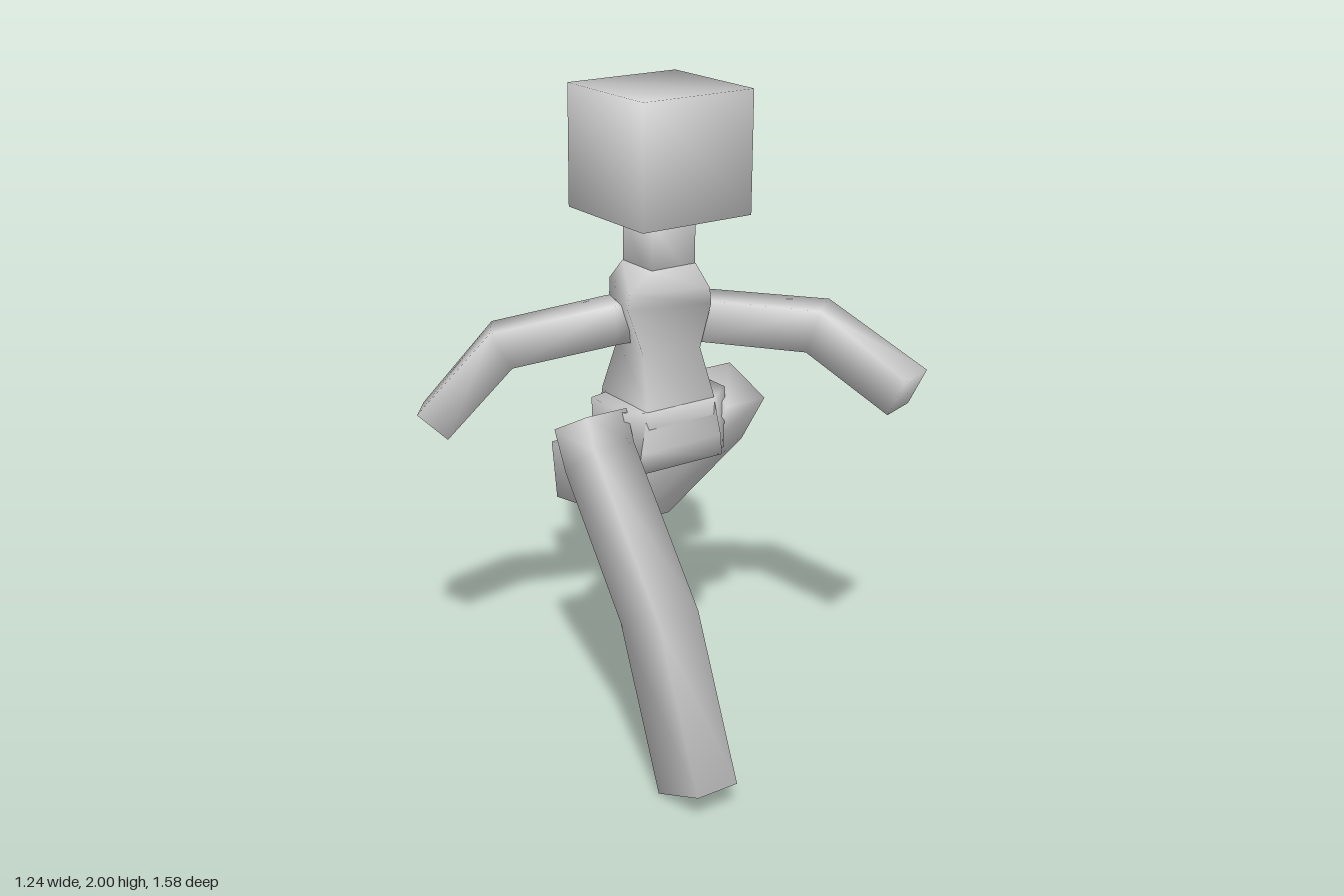
import * as THREE from 'three';

const V = (x, y, z) => new THREE.Vector3(x, y, z);
const material = new THREE.MeshStandardMaterial({ color: 0xcccccc });

// Closed skin over four-cornered rings, with smooth shared normals
function loft(name, rings) {
  const points = rings.flat();
  const faces = [];
  const quad = (a, b, c, d) => faces.push([a, b, c], [a, c, d]);
  for (let i = 0; i < rings.length - 1; i++) {
    for (let j = 0; j < 4; j++) {
      const k = (j + 1) % 4;
      quad(i * 4 + j, i * 4 + k, i * 4 + 4 + k, i * 4 + 4 + j);
    }
  }
  const e = points.length - 4;
  quad(3, 2, 1, 0);
  quad(e, e + 1, e + 2, e + 3);

  // Turn the faces outward if the enclosed volume is negative
  let volume = 0;
  for (const [a, b, c] of faces) {
    volume += points[a].dot(points[b].clone().cross(points[c]));
  }
  if (volume < 0) faces.forEach((f) => f.reverse());

  const geometry = new THREE.BufferGeometry().setFromPoints(points);
  geometry.setIndex(faces.flat());
  geometry.computeVertexNormals();
  const mesh = new THREE.Mesh(geometry, material);
  mesh.name = name;
  return mesh;
}

// Horizontal ring, turned about the vertical
function levelRing(y, cx, cz, hx, hz, turn = 0) {
  return [[-1, -1], [1, -1], [1, 1], [-1, 1]].map(([sx, sz]) =>
    V(sx * hx, 0, sz * hz).applyAxisAngle(V(0, 1, 0), turn).add(V(cx, y, cz)));
}

// Square tube along a bent path, mitred at each joint
function arm(name, path, half) {
  const dirs = path.slice(1).map((p, i) => p.clone().sub(path[i]).normalize());
  return loft(name, path.map((p, i) => {
    const before = dirs[Math.max(i - 1, 0)];
    const after = dirs[Math.min(i, dirs.length - 1)];
    const along = before.clone().add(after).normalize();
    const side = along.clone().cross(V(0, 1, 0)).normalize();
    const up = side.clone().cross(along);
    const grow = half / along.dot(after);
    return [[-1, -1], [1, -1], [1, 1], [-1, 1]].map(([s, u]) =>
      p.clone().addScaledVector(side, s * grow).addScaledVector(up, u * grow));
  }));
}

// Side profile, as pairs of [z, y] edge points, given a width in x
function leg(name, x0, x1, profile) {
  return loft(name, profile.map(([za, ya, zb, yb]) =>
    [V(x0, ya, za), V(x1, ya, za), V(x1, yb, zb), V(x0, yb, zb)]));
}

export function createModel() {
  const group = new THREE.Group();
  group.name = 'runningFigure';

  // Head and neck
  group.add(
    loft('head', [
      levelRing(1.595, 0.018, 0.128, 0.08, 0.08),
      levelRing(1.63, 0.018, 0.128, 0.193, 0.193),
      levelRing(2.0, 0.018, 0.128, 0.193, 0.193),
    ]),
    loft('neck', [
      levelRing(1.42, 0.018, 0.128, 0.078, 0.075),
      levelRing(1.61, 0.018, 0.128, 0.078, 0.075),
    ]),
  );

  // Torso, shoulders twisted against the hips
  group.add(loft('torso', [
    levelRing(0.865, 0.02, 0.13, 0.15, 0.125),
    levelRing(0.93, 0.02, 0.13, 0.145, 0.125),
    levelRing(1.07, 0.018, 0.125, 0.122, 0.12),
    levelRing(1.22, 0.015, 0.132, 0.095, 0.09, -0.15),
    levelRing(1.36, 0.022, 0.128, 0.13, 0.095, -0.3),
    levelRing(1.41, 0.02, 0.128, 0.125, 0.1, -0.3),
    levelRing(1.475, 0.018, 0.128, 0.08, 0.076),
  ]));

  // Hip bridge joining the legs
  group.add(loft('hips', [
    [-0.18, 0.86, 1.065, 0.06, 0.235],
    [-0.1, 0.875, 1.055, 0.02, 0.25],
    [0.14, 0.875, 1.055, 0.02, 0.25],
    [0.22, 0.86, 1.06, 0.06, 0.2],
  ].map(([x, y0, y1, z0, z1]) =>
    [V(x, y0, z0), V(x, y1, z0), V(x, y1, z1), V(x, y0, z1)])));

  // Arms
  group.add(
    arm('leftArm', [V(0.06, 1.3, 0.13), V(0.13, 1.3, 0.165),
      V(0.435, 1.265, 0.375), V(0.54, 1.115, 0.67)], 0.065),
    arm('rightArm', [V(-0.02, 1.3, 0.08), V(-0.1, 1.295, 0.055),
      V(-0.39, 1.225, -0.11), V(-0.555, 0.975, -0.24)], 0.06),
  );

  // Legs: left kicked back, right striding forward
  group.add(
    leg('leftLeg', 0.2, 0.345, [
      [0.06, 1.075, 0.24, 1.01],
      [0.0, 0.98, 0.13, 0.84],
      [-0.3, 0.65, -0.265, 0.44],
      [-0.787, 0.565, -0.755, 0.36],
    ]),
    leg('rightLeg', -0.302, -0.162, [
      [0.22, 1.075, 0.04, 0.98],
      [0.26, 0.98, 0.1, 0.86],
      [0.59, 0.56, 0.395, 0.48],
      [0.79, 0.085, 0.595, 0.0],
    ]),
  );

  return group;
}
